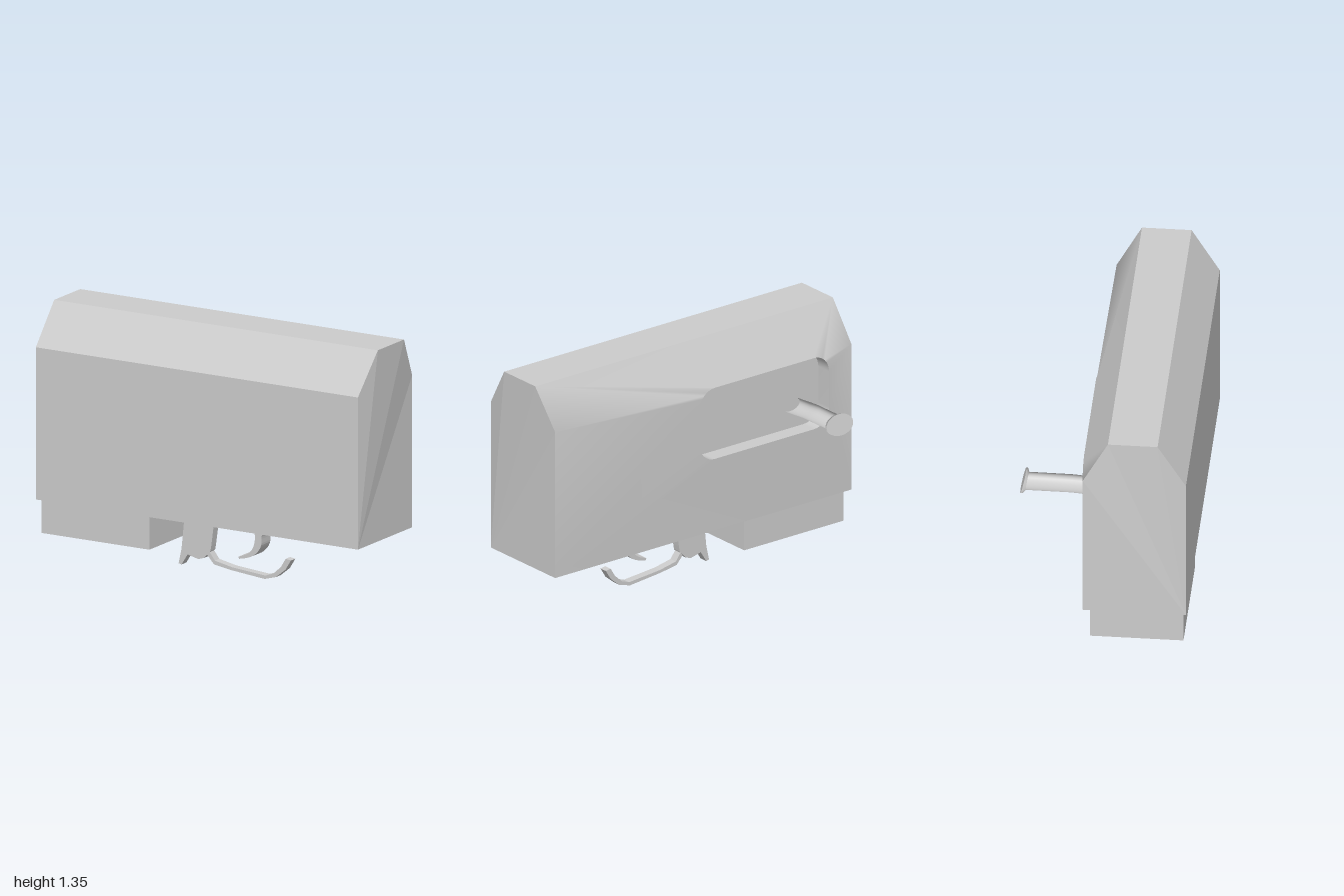
import * as THREE from 'three';

const mat = new THREE.MeshStandardMaterial({ color: 0xcccccc });
const V = (x, y, z) => new THREE.Vector3(x, y, z);

function add(group, name, geometry) {
  const mesh = new THREE.Mesh(geometry, mat);
  mesh.name = name;
  group.add(mesh);
  return mesh;
}

// Geometry from triangles given as corner triples; welded corners shade smooth
function fromTriangles(tris, smooth = false) {
  const geo = new THREE.BufferGeometry();
  if (smooth) {
    const points = [...new Set(tris)];
    geo.setFromPoints(points);
    geo.setIndex(tris.map(p => points.indexOf(p)));
  } else geo.setFromPoints(tris);
  geo.computeVertexNormals();
  return geo;
}

// Flat outline in x, y extruded between two z values
function plate(points, z0, z1, holePoints) {
  const toVec = p => new THREE.Vector2(p[0], p[1]);
  const shape = new THREE.Shape(points.map(toVec));
  if (holePoints) shape.holes.push(new THREE.Path(holePoints.map(toVec)));
  const geo = new THREE.ExtrudeGeometry(shape, { depth: z1 - z0, bevelEnabled: false });
  return geo.translate(0, 0, z0);
}

const rect = (x0, y0, x1, y1) => [[x0, y0], [x1, y0], [x1, y1], [x0, y1]];

function buildBody(group) {
  // Cross-section: z, y, left end x, right end x
  const section = [
    [0.45, 0.31, 0.97, -1], [0.45, 1.13, 0.97, -1], [0.30, 1.355, 1, -0.98],
    [0.04, 1.355, 1, -0.98], [-0.09, 1.13, 0.97, -1], [-0.09, 0.31, 0.97, -1],
  ];
  const L = section.map(([z, y, x]) => V(x, y, z));
  const R = section.map(([z, y, , x]) => V(x, y, z));
  const shell = [];
  for (const i of [0, 1, 2, 5]) {
    const j = (i + 1) % 6;
    shell.push(R[i], L[i], L[j], R[i], L[j], R[j]);
  }
  for (let i = 1; i < 5; i++) {
    shell.push(L[0], L[i + 1], L[i]);
    shell.push(R[0], R[i], R[i + 1]);
  }
  add(group, 'bodyShell', fromTriangles(shell));

  // Rounded opening in the back, each rim point tied to a body corner
  const rim = [], owner = [], r = 0.1, n = 8;
  const arcs = [
    [0.02 - r, 0.72 + r, L[5], L[5]], [0.02 - r, 1.12 - r, L[4], L[3]],
    [-0.84 + r, 1.12 - r, R[3], R[4]], [-0.84 + r, 0.72 + r, R[5], R[5]],
  ];
  arcs.forEach(([cx, cy, first, second], k) => {
    for (let i = 0; i <= n; i++) {
      const a = (k - 1 + i / n) * Math.PI / 2;
      rim.push(V(cx + r * Math.cos(a), cy + r * Math.sin(a), -0.105));
      owner.push(i < n / 2 ? first : second);
    }
  });
  const floor = rim.map(p => V(p.x, p.y, -0.015));
  const centre = V(-0.41, 0.92, -0.015);
  const back = [], wall = [], base = [];
  rim.forEach((p, i) => {
    const j = (i + 1) % rim.length;
    back.push(owner[i], p, rim[j]);
    if (owner[i] !== owner[j]) back.push(owner[i], rim[j], owner[j]);
    wall.push(p, floor[i], floor[j], p, floor[j], rim[j]);
    base.push(centre, floor[j], floor[i]);
  });
  add(group, 'bodyBack', fromTriangles(back, true));
  add(group, 'openingWall', fromTriangles(wall, true));
  add(group, 'openingFloor', fromTriangles(base));
}

// Flattened bent bar with a tilted flared end
function buildHandle(group) {
  // z, centre y, half width, half height, tilt
  const sections = [
    [-0.01, 0.853, 0.063, 0.038, 0], [-0.10, 0.860, 0.063, 0.038, 0],
    [-0.14, 0.864, 0.063, 0.038, 0], [-0.18, 0.867, 0.063, 0.038, 0],
    [-0.41, 0.868, 0.063, 0.038, 0.2], [-0.422, 0.870, 0.088, 0.054, 0.26],
    [-0.432, 0.871, 0.088, 0.055, 0.26],
  ];
  const n = 24;
  const rings = sections.map(([z, y, rx, ry, tilt]) => Array.from({ length: n }, (_, i) => {
    const a = i / n * Math.PI * 2, dy = ry * Math.sin(a);
    return V(-0.653 + rx * Math.cos(a), y + dy, z + tilt * dy);
  }));
  const band = (from, to) => {
    const tris = [];
    for (let s = from; s < to; s++) for (let i = 0; i < n; i++) {
      const j = (i + 1) % n, a = rings[s], b = rings[s + 1];
      tris.push(a[i], b[j], b[i], a[i], a[j], b[j]);
    }
    return fromTriangles(tris, true);
  };
  add(group, 'handleBar', band(0, 4));
  add(group, 'handleFlare', band(4, 5));
  add(group, 'handleRim', band(5, 6));
  const end = rings[6], cap = [];
  for (let i = 1; i < n - 1; i++) cap.push(end[0], end[i + 1], end[i]);
  add(group, 'handleCap', fromTriangles(cap));
}

export function createModel() {
  const model = new THREE.Group();
  model.name = 'receiver';

  const body = new THREE.Group();
  body.name = 'body';
  buildBody(body);
  model.add(body);

  const handle = new THREE.Group();
  handle.name = 'handle';
  buildHandle(handle);
  model.add(handle);

  // Magazine well: open frame with a recessed ceiling
  const well = plate(rect(-0.975, -0.435, -0.315, 0.055), 0.13, 0.31,
    rect(-0.935, -0.395, -0.355, 0.015));
  add(model, 'magazineWell', well.rotateX(-Math.PI / 2));
  const ceiling = new THREE.BoxGeometry(0.6, 0.07, 0.43).translate(-0.645, 0.27, 0.19);
  add(model, 'magazineWellCeiling', ceiling);

  // Release catch
  add(model, 'catch', plate([
    [-0.225, 0.315], [-0.062, 0.315], [-0.06, 0.29], [-0.05, 0.25], [-0.065, 0.14],
    [-0.07, 0.11], [-0.11, 0.067], [-0.145, 0.056], [-0.21, 0.072], [-0.247, 0.013],
    [-0.265, 0.017], [-0.247, 0.10], [-0.237, 0.195],
  ], 0.177, 0.225));

  // Trigger: curved blade
  const trigger = new THREE.Shape();
  trigger.moveTo(0.232, 0.315);
  trigger.lineTo(0.298, 0.315);
  trigger.splineThru([[0.28, 0.25], [0.275, 0.195], [0.243, 0.15], [0.2, 0.125], [0.142, 0.11]]
    .map(p => new THREE.Vector2(...p)));
  trigger.lineTo(0.137, 0.121);
  trigger.splineThru([[0.19, 0.142], [0.222, 0.174], [0.238, 0.227], [0.232, 0.315]]
    .map(p => new THREE.Vector2(...p)));
  add(model, 'trigger', new THREE.ExtrudeGeometry(trigger,
    { depth: 0.09, bevelEnabled: false, curveSegments: 4 }).translate(0, 0, 0.195));

  // Trigger guard: thin bent strip
  add(model, 'triggerGuard', plate([
    [-0.095, 0.09], [-0.05, 0.04], [0.06, 0.023], [0.26, 0.004], [0.33, 0.024],
    [0.388, 0.072], [0.42, 0.125], [0.388, 0.13], [0.36, 0.083], [0.313, 0.04],
    [0.265, 0.023], [0.06, 0.04], [-0.045, 0.061], [-0.078, 0.105],
  ], 0.178, 0.223));

  const box = new THREE.Box3().setFromObject(model);
  model.position.y = -box.min.y;
  return model;
}
